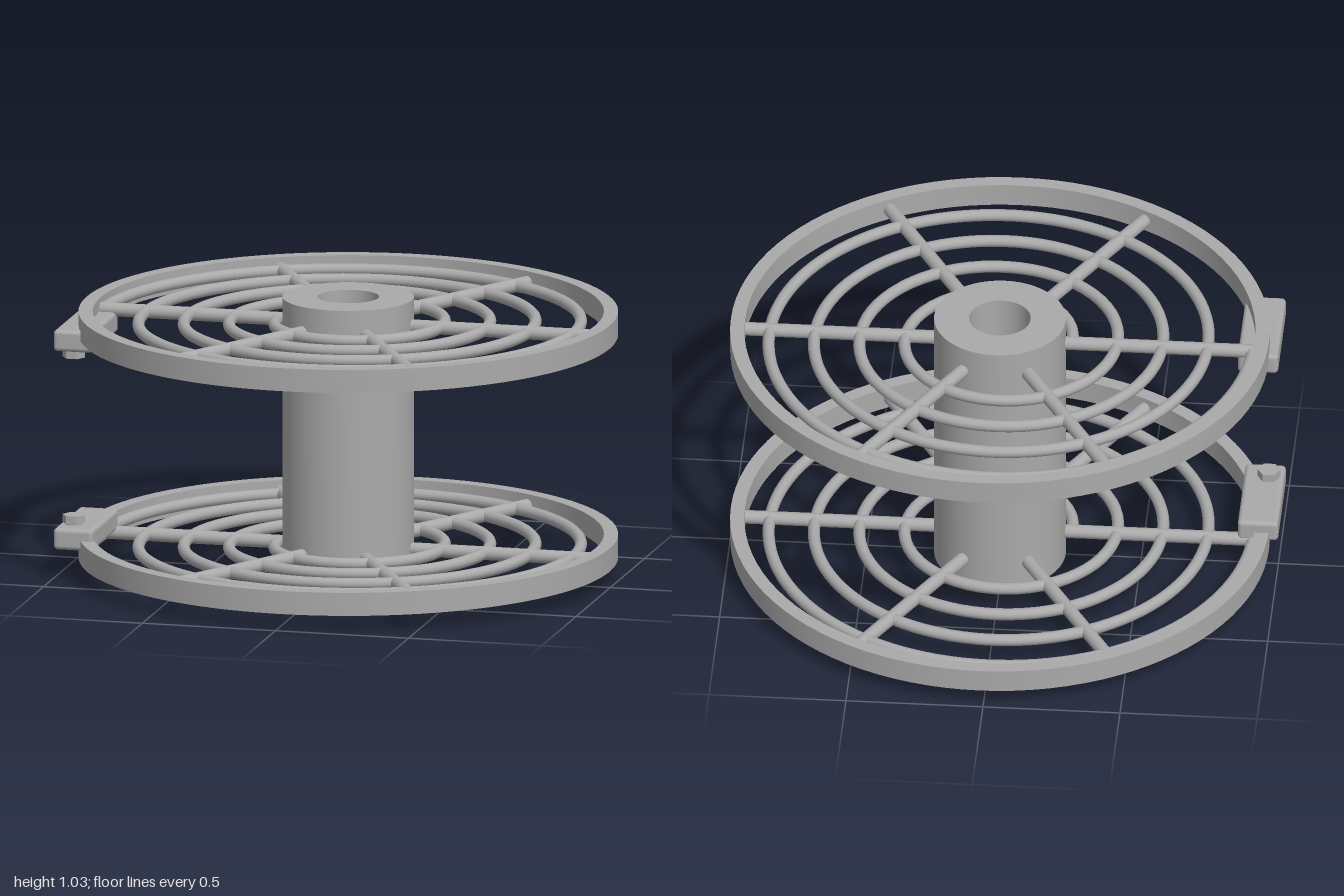
import * as THREE from 'three';
import { toCreasedNormals } from 'three/addons/utils/BufferGeometryUtils.js';
import { RoundedBoxGeometry } from 'three/addons/geometries/RoundedBoxGeometry.js';

const CX = 0.016;      // spool axis, offset by the overhanging clamp
const HEIGHT = 1.03;

const grey = new THREE.MeshStandardMaterial({ color: 0xaaaaaa });
grey.name = 'grey';

function add(parent, name, geometry, x = 0, y = 0, z = 0) {
  const mesh = new THREE.Mesh(geometry, grey);
  mesh.name = name;
  mesh.position.set(x, y, z);
  parent.add(mesh);
  return mesh;
}

// Ring with a rectangular section, sharp at its four edges
function ring(inner, outer, y0, y1, segments) {
  const profile = [[inner, y0], [outer, y0], [outer, y1], [inner, y1], [inner, y0]]
    .map(([r, y]) => new THREE.Vector2(r, y));
  return toCreasedNormals(new THREE.LatheGeometry(profile, segments), 0.6);
}

// Flat spiral growing outwards by a fixed pitch per turn
class Spiral extends THREE.Curve {
  getPoint(t, target = new THREE.Vector3()) {
    const a = t * 4 * Math.PI * 2;
    const r = 0.262 + 0.66 * t;
    return target.set(-r * Math.cos(a), 0, r * Math.sin(a));
  }
}

// Rim, six spokes and the spiral wire, centred on y = 0
function makeFlange(name) {
  const flange = new THREE.Group();
  flange.name = name;
  add(flange, 'rim', ring(0.93, 0.982, -0.043, 0.043, 96));
  const spokeGeometry = new THREE.CylinderGeometry(0.025, 0.025, 0.74, 20);
  spokeGeometry.rotateZ(Math.PI / 2).translate(0.57, 0, 0);
  for (let i = 0; i < 6; i++) {
    add(flange, 'spoke', spokeGeometry).rotation.y = i * Math.PI / 3;
  }
  add(flange, 'spiralWire', new THREE.TubeGeometry(new Spiral(), 320, 0.022, 12));
  return flange;
}

// Rounded block with a hexagonal bolt on the side facing the other flange
function makeClamp(name) {
  const clamp = new THREE.Group();
  clamp.name = name;
  add(clamp, 'clampBlock', new RoundedBoxGeometry(0.148, 0.08, 0.385, 3, 0.016), -0.926, 0.148, 0.173);
  add(clamp, 'boltNeck', new THREE.CylinderGeometry(0.03, 0.03, 0.03, 20), -0.944, 0.19, 0.275);
  const head = toCreasedNormals(new THREE.CylinderGeometry(0.042, 0.042, 0.03, 6), 0.5);
  head.rotateY(Math.PI / 2);
  add(clamp, 'boltHead', head, -0.944, 0.209, 0.275);
  return clamp;
}

export function createModel() {
  const model = new THREE.Group();
  model.name = 'wireSpool';

  const spool = new THREE.Group();
  spool.name = 'spool';
  spool.position.x = CX;
  add(spool, 'hub', ring(0.112, 0.24, 0, HEIGHT, 64));
  for (const [name, y] of [['lowerFlange', 0.102], ['upperFlange', HEIGHT + 0.005 - 0.102]]) {
    const flange = makeFlange(name);
    flange.position.y = y;
    spool.add(flange);
  }
  model.add(spool);

  // Upper clamp is the lower one turned over about the x axis, with z kept
  const lower = makeClamp('lowerClamp');
  const upper = makeClamp('upperClamp');
  upper.children.forEach((part) => { part.position.y = HEIGHT + 0.005 - part.position.y; });
  model.add(lower, upper);
  return model;
}
